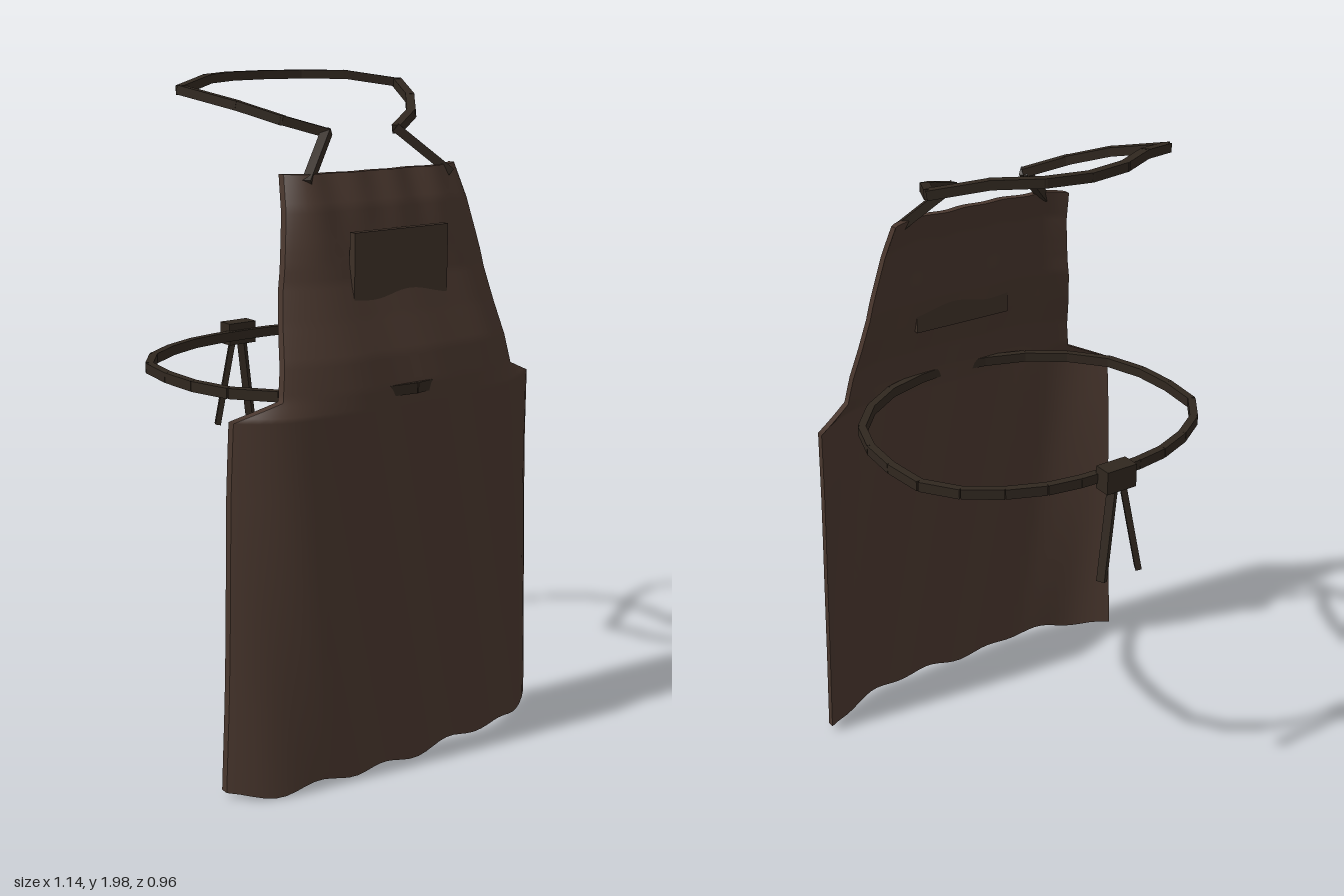
import * as THREE from 'three';
import { ParametricGeometry } from 'three/addons/geometries/ParametricGeometry.js';

const mat = (color, side = THREE.FrontSide) => {
  const m = new THREE.MeshStandardMaterial({ side });
  m.color.set(color);
  return m;
};
const leather = mat(0x48362d, THREE.DoubleSide);
const strapMat = mat(0x30271f);
const pocketMat = mat(0x3d3027);
const V = (x, y, z) => new THREE.Vector3(x, y, z);

// Apron levels: height, half width, front z at the middle, how far the sides curve back
const LEVELS = [
  [0.035, 0.57, 0.472, 0.12], [0.3, 0.56, 0.472, 0.12], [0.6, 0.551, 0.472, 0.12],
  [0.9, 0.541, 0.472, 0.12], [1.115, 0.533, 0.472, 0.115], [1.165, 0.412, 0.468, 0.058],
  [1.25, 0.396, 0.453, 0.056], [1.35, 0.377, 0.42, 0.054], [1.45, 0.358, 0.39, 0.05],
  [1.55, 0.339, 0.372, 0.045], [1.65, 0.319, 0.352, 0.04], [1.75, 0.3, 0.312, 0.03],
];
const THICK = 0.024;

// Point on the cloth: u across (0..1), v upward (0..1), t from front (0) to back (1)
function cloth(u, v, t, out) {
  const f = v * (LEVELS.length - 1);
  const i = Math.min(Math.floor(f), LEVELS.length - 2);
  const [y, hw, z, drop] = LEVELS[i].map((a, k) => THREE.MathUtils.lerp(a, LEVELS[i + 1][k], f - i));
  const s = u * 2 - 1, x = s * hw;
  const hem = Math.max(0, 1 - y / 0.2);
  const crumple = Math.max(0, (y - 1.5) / 0.25);
  const wave = 0.011 * Math.sin(x * 27 + 4.2) + 0.008 * Math.sin(x * 13 - 1.2);
  const fold = 0.003 * Math.sin(x * 24 + y * 5)
    + crumple * (0.005 * Math.sin(x * 45) - 0.022 * Math.abs(s) ** 10);
  return out.set(x, y + hem * wave, z - drop * Math.abs(s) ** 4.5 + fold - t * THICK);
}

function apron() {
  const g = new THREE.Group();
  g.name = 'apron';
  const nu = 40, nv = (LEVELS.length - 1) * 4;
  const add = (name, fn, a, b) => {
    const m = new THREE.Mesh(new ParametricGeometry(fn, a, b), leather);
    m.name = name;
    g.add(m);
  };
  add('frontCloth', (u, v, o) => cloth(u, v, 0, o), nu, nv);
  add('backCloth', (u, v, o) => cloth(1 - u, v, 1, o), nu, nv);
  add('hem', (u, v, o) => cloth(u, 0, 1 - v, o), nu, 1);
  add('bibTopEdge', (u, v, o) => cloth(u, 1, v, o), nu, 1);
  add('leftEdge', (u, v, o) => cloth(1, v, u, o), 1, nv);
  add('rightEdge', (u, v, o) => cloth(0, v, 1 - u, o), 1, nv);
  return g;
}

// Rectangular bar running from a to b
function bar(name, a, b, w, h, extra = 0) {
  const m = new THREE.Mesh(new THREE.BoxGeometry(w, h, a.distanceTo(b) + extra), strapMat);
  m.position.copy(a).lerp(b, 0.5);
  m.lookAt(b);
  m.name = name;
  return m;
}

// Bars along a half path, mirrored to both sides
function mirroredStrap(name, half, w, h, extra) {
  const g = new THREE.Group();
  g.name = name;
  for (const s of [1, -1]) {
    const pts = half.map(([x, y, z]) => V(x * s, y, z));
    for (let i = 0; i < pts.length - 1; i++) g.add(bar(name + 'Segment', pts[i], pts[i + 1], w, h, extra));
  }
  return g;
}

export function createModel() {
  const model = new THREE.Group();
  model.name = 'apronModel';
  model.add(apron());

  // Flat pocket sunk through the sloping bib
  const pocket = new THREE.Mesh(new THREE.BoxGeometry(0.33, 0.25, 0.023), pocketMat);
  pocket.position.set(0, 1.472, 0.388);
  pocket.name = 'pocket';
  model.add(pocket);

  // Neck strap
  model.add(mirroredStrap('neckStrap', [
    [0.25, 1.73, 0.3], [0.125, 1.85, 0.215], [0.23, 1.885, 0.15], [0.31, 1.923, 0.045],
    [0.39, 1.96, -0.115], [0.25, 1.984, -0.195], [0.13, 1.986, -0.265], [0, 1.986, -0.29],
  ], 0.026, 0.026, 0.012));

  // Waist belt ring
  const beltPath = [
    [0, -0.408], [0.1, -0.404], [0.2, -0.388], [0.31, -0.343], [0.41, -0.275], [0.482, -0.175],
    [0.498, -0.04], [0.492, 0.09], [0.455, 0.215], [0.365, 0.325], [0.25, 0.405], [0.12, 0.448], [0, 0.466],
  ].map(([x, z]) => [x, 1.16, z]);
  model.add(mirroredStrap('waistBelt', beltPath, 0.024, 0.03, 0));

  // Knot with two hanging tails
  const knot = new THREE.Mesh(new THREE.BoxGeometry(0.1, 0.07, 0.055), strapMat);
  knot.position.set(0, 1.163, -0.437);
  knot.name = 'knot';
  model.add(knot);
  for (const s of [1, -1]) {
    model.add(bar(s > 0 ? 'leftTail' : 'rightTail', V(0.015 * s, 1.15, -0.443), V(0.065 * s, 0.855, -0.468), 0.026, 0.018));
  }
  return model;
}
